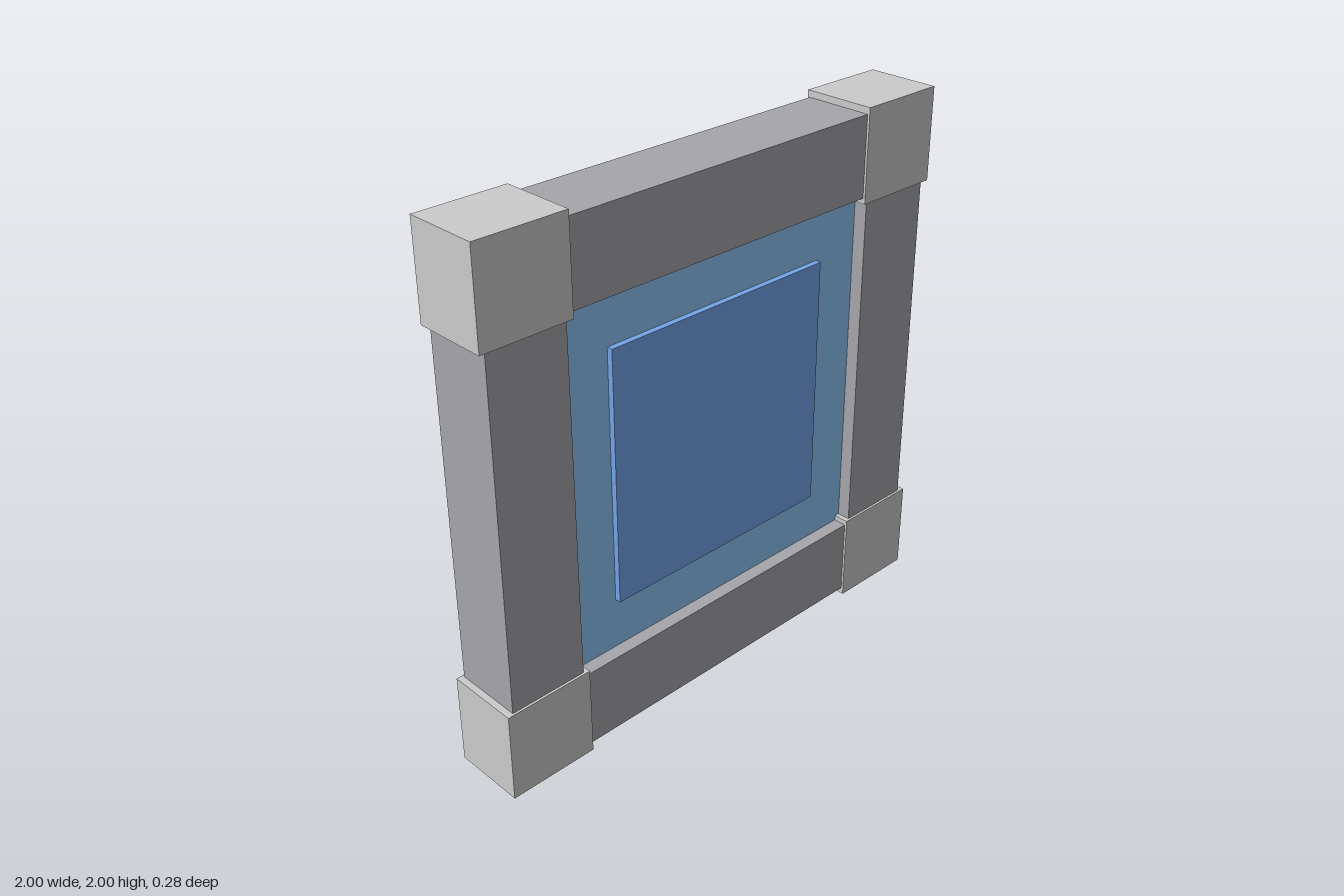
import * as THREE from 'three';

const mat = (color) => new THREE.MeshStandardMaterial({ color });

export function createModel() {
  const model = new THREE.Group();
  model.name = 'framedPanel';

  const blockMat = mat(0xcccccc);
  const beamMat = mat(0xa6a6ab);

  // Box given by its size and centre
  function box(name, [w, h, d], [x, y, z], material) {
    const mesh = new THREE.Mesh(new THREE.BoxGeometry(w, h, d), material);
    mesh.name = name;
    mesh.position.set(x, y, z);
    model.add(mesh);
  }

  const block = 0.345;
  const centre = 1 - block / 2;

  for (const s of [-1, 1]) {
    const side = s > 0 ? 'left' : 'right';
    const level = s > 0 ? 'top' : 'bottom';

    // Corner blocks, slightly proud of the beams
    for (const t of [-1, 1]) {
      box(`${side}${t > 0 ? 'Top' : 'Bottom'}Corner`, [block, block, 0.28],
        [s * centre, 1 + t * centre, 0], blockMat);
    }

    // Frame beams between the corners
    box(`${side}Beam`, [0.3, 1.34, 0.262], [s * 0.825, 1, 0], beamMat);
    box(`${level}Beam`, [1.34, 0.3, 0.262], [0, 1 + s * 0.825, 0], beamMat);
  }

  // Recessed panel filling the frame
  box('panel', [1.37, 1.37, 0.16], [0, 1, 0], mat(0x8fc6f8));

  // Raised plate on the front
  box('frontPlate', [0.96, 0.96, 0.03], [0, 1, 0.087], mat(0x74a4e8));

  // Small offset plate on the back
  box('backPlate', [0.43, 0.35, 0.04], [-0.265, 1.17, -0.085], mat(0xc4e4f7));

  return model;
}
